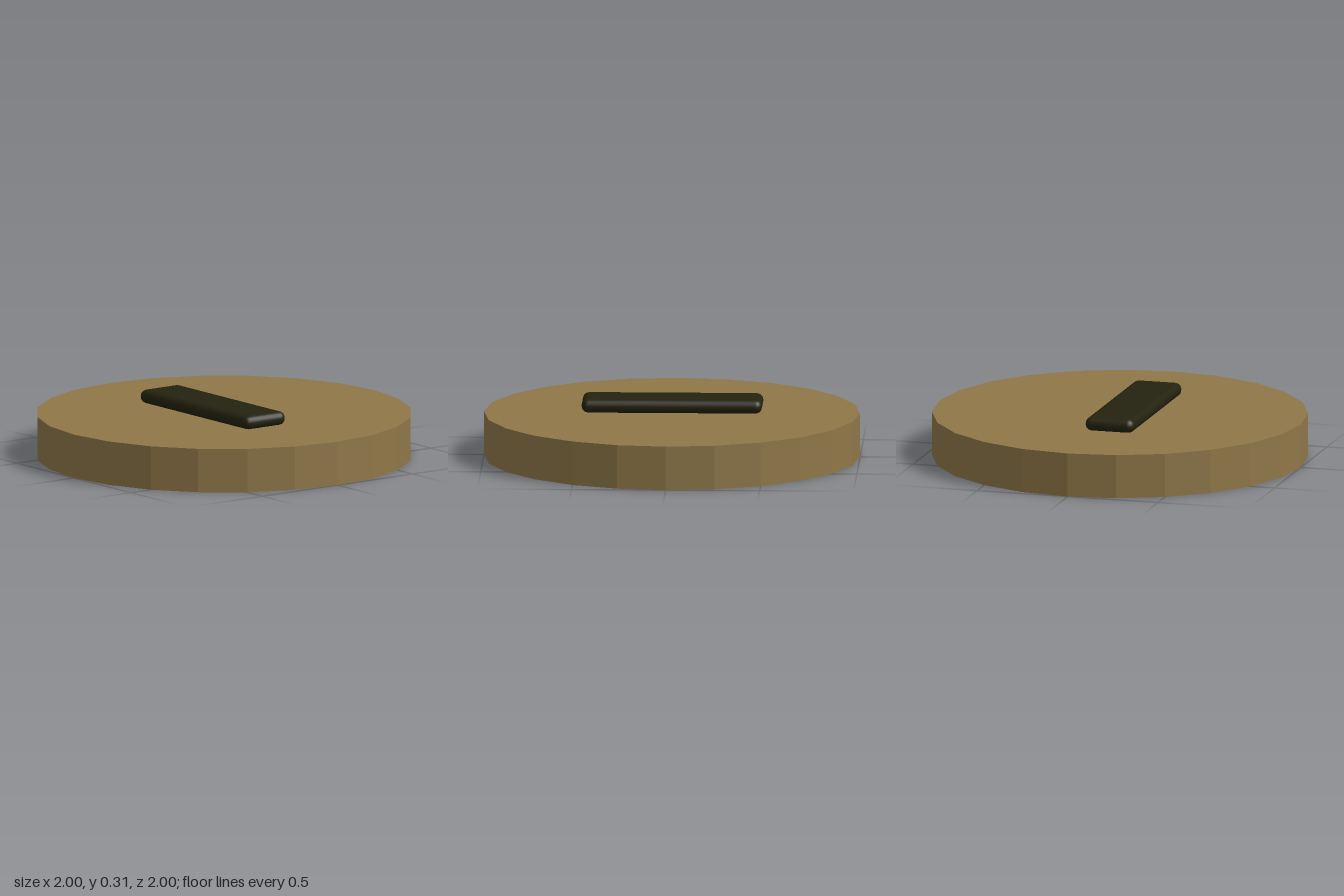
import * as THREE from 'three';
import { RoundedBoxGeometry } from 'three/addons/geometries/RoundedBoxGeometry.js';

export function createModel() {
  const model = new THREE.Group();
  model.name = 'discWithBar';

  const tan = new THREE.MeshStandardMaterial({ color: 0x8f7748 });
  tan.name = 'tan';
  tan.flatShading = true;
  const darkOlive = new THREE.MeshStandardMaterial({ color: 0x24220f });
  darkOlive.name = 'darkOlive';

  // Thick 24-sided disc
  const discHeight = 0.235;
  const disc = new THREE.Mesh(new THREE.CylinderGeometry(1, 1, discHeight, 24), tan);
  disc.name = 'disc';
  disc.position.y = discHeight / 2;
  model.add(disc);

  // Rounded bar resting on the disc, slightly forward of centre
  const barHeight = 0.074;
  const bar = new THREE.Mesh(new RoundedBoxGeometry(0.96, barHeight, 0.27, 2, 0.036), darkOlive);
  bar.name = 'bar';
  bar.position.set(0, discHeight + barHeight / 2, 0.075);
  model.add(bar);

  return model;
}
